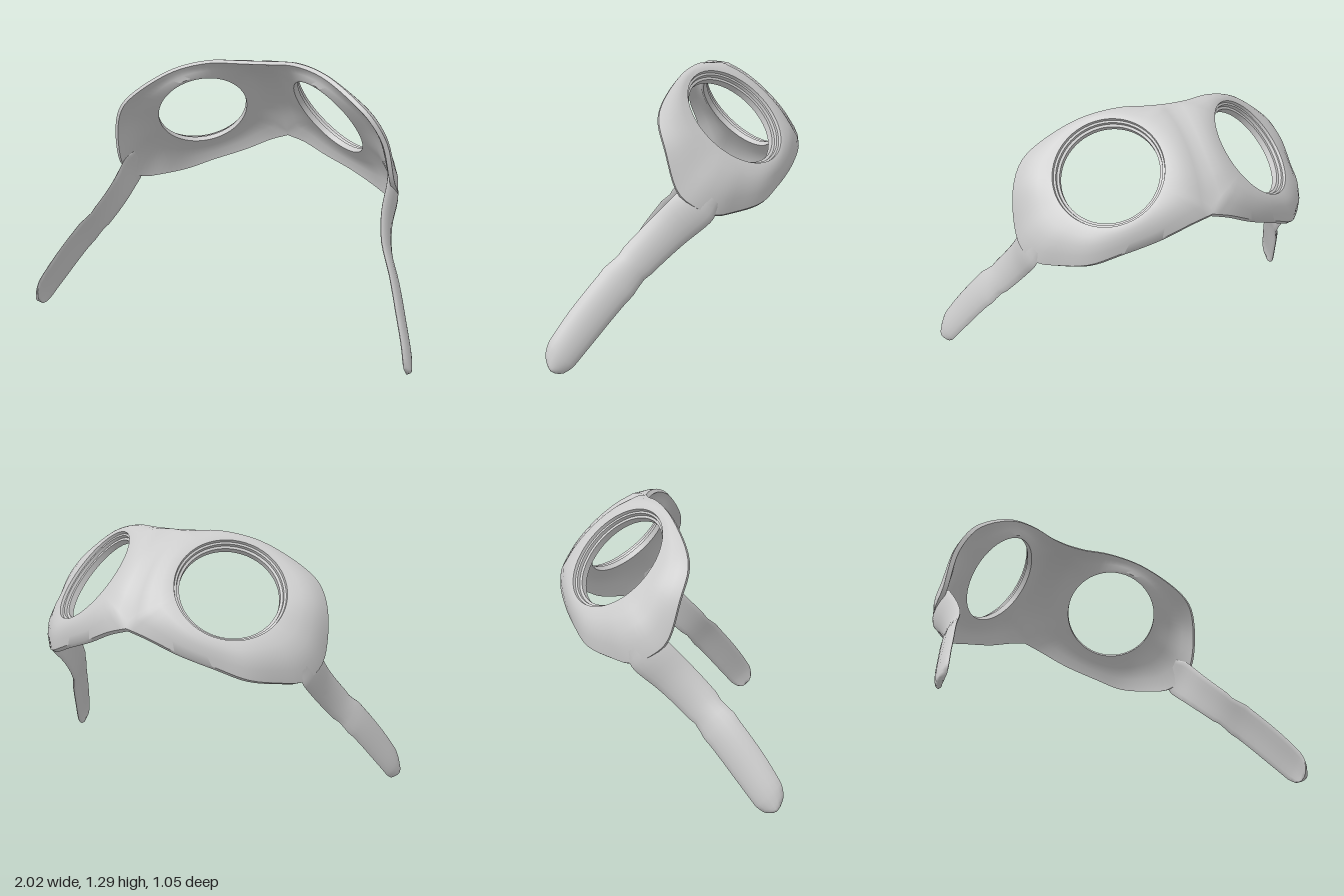
import * as THREE from 'three';
import { toCreasedNormals, mergeGeometries } from 'three/addons/utils/BufferGeometryUtils.js';

const V = (x, u, f) => new THREE.Vector3(x, u, f);
const MID = -0.022; // symmetry plane of the mask
const material = new THREE.MeshStandardMaterial({ color: 0xcccccc, side: THREE.DoubleSide });

// Mask space (x across, u up the face, f out of the face) to model space.
const place = (p, side) => V(side * p.x + MID, 0.69 * p.y + 0.72 * p.z, 0.72 * p.y - 0.69 * p.z);

// Joins closed cross-sections into a skin, facing outwards.
function loft(sections, closed, side) {
  const rows = sections.map((s) => s.map((p) => place(p, side)));
  const tris = [];
  let volume = 0;
  const add = (a, b, c) => {
    tris.push([a, b, c]);
    volume += a.dot(b.clone().cross(c));
  };
  const n = rows[0].length;
  for (let i = 0; i < rows.length - (closed ? 0 : 1); i++) {
    const r0 = rows[i], r1 = rows[(i + 1) % rows.length];
    for (let j = 0; j < n; j++) {
      const k = (j + 1) % n;
      const quad = [r0[j], r1[j], r1[k], r0[k]];
      // leave the two halves open where they meet
      if (quad.every((p) => Math.abs(p.x - MID) < 1e-4)) continue;
      add(quad[0], quad[1], quad[2]);
      add(quad[0], quad[2], quad[3]);
    }
  }
  const pos = [];
  for (const [a, b, c] of tris) {
    for (const p of volume > 0 ? [a, b, c] : [a, c, b]) pos.push(p.x, p.y, p.z);
  }
  const g = new THREE.BufferGeometry();
  g.setAttribute('position', new THREE.Float32BufferAttribute(pos, 3));
  return g;
}

// Outer edge of half the mask: nose, cheek, temple, brow, back to the nose.
function maskEdge() {
  const rim = new THREE.CatmullRomCurve3([
    V(0, 0.225, 1.01), V(0.1, 0.21, 0.985), V(0.24, 0.192, 0.92), V(0.42, 0.19, 0.833),
    V(0.55, 0.2, 0.752), V(0.66, 0.265, 0.655), V(0.725, 0.32, 0.595),
    V(0.762, 0.41, 0.565), V(0.765, 0.503, 0.56), V(0.745, 0.677, 0.655),
    V(0.69, 0.78, 0.712), V(0.62, 0.825, 0.765), V(0.42, 0.866, 0.9),
    V(0.24, 0.854, 0.977), V(0.1, 0.825, 1.005), V(0, 0.818, 1.01),
  ], false, 'centripetal');
  const nose = new THREE.CatmullRomCurve3([
    V(0, 0.818, 1.01), V(0, 0.7, 1.055), V(0, 0.56, 1.075), V(0, 0.38, 1.06), V(0, 0.225, 1.01),
  ]);
  return [...rim.getSpacedPoints(60).slice(0, -1), ...nose.getSpacedPoints(20).slice(0, -1)];
}

// Half mask: one closed cross-section per direction around the eye hole.
function halfMask(side) {
  const c = V(0.367, 0.556, 0.904);
  const out = V(0.49, 0, 0.872), across = V(0.872, 0, -0.49);
  const normalAt = (p) => V(Math.sin(p.x * 1.45), 0, Math.cos(p.x * 1.45));
  const sections = maskEdge().map((edge) => {
    const d = edge.clone().sub(c);
    const a = Math.atan2(d.y, d.dot(across));
    const ring = (r, h) => c.clone()
      .addScaledVector(across, r * Math.cos(a))
      .addScaledVector(out, h)
      .add(V(0, r * Math.sin(a), 0));
    const lip = ring(0.272, 0.034), back = ring(0.25, -0.03);
    const inner = edge.clone().addScaledVector(normalAt(edge), -0.022);
    const between = (p, q, t) => {
      const m = p.clone().lerp(q, t);
      return m.addScaledVector(normalAt(m), 0.5 * t * (1 - t) * p.distanceTo(q));
    };
    return [
      ring(0.235, -0.03), ring(0.235, 0.0), ring(0.247, 0.003), ring(0.249, 0.018),
      ring(0.259, 0.02), ring(0.262, 0.034), lip,
      between(lip, edge, 0.25), between(lip, edge, 0.5), between(lip, edge, 0.75), edge,
      inner, between(inner, back, 0.33), between(inner, back, 0.67), back,
    ];
  });
  return loft(sections, true, side);
}

// Strap stations: x, u, f and half width, from the temple to the tip.
const STATIONS = [
  [0.725, 0.41, 0.64, 0.075], [0.745, 0.41, 0.56, 0.098], [0.758, 0.42, 0.4, 0.09],
  [0.8, 0.425, 0.23, 0.085], [0.872, 0.42, 0.076, 0.085], [0.942, 0.405, -0.1, 0.083],
  [0.998, 0.385, -0.25, 0.075], [1.01, 0.376, -0.3, 0.055], [1.014, 0.37, -0.325, 0.025],
  [1.014, 0.37, -0.33, 0.001],
];

function strap(side) {
  // the right strap is slightly shorter
  const fx = side > 0 ? 1 : 0.88, ff = side > 0 ? 1 : 0.925;
  const path = new THREE.CatmullRomCurve3(STATIONS.map(([x, u, f]) =>
    V(0.725 + (x - 0.725) * fx, u, 0.6 + (f - 0.6) * ff)));
  const widths = new THREE.CatmullRomCurve3(STATIONS.map((s) => V(s[3], 0, 0)));
  const sections = [];
  for (let i = 0; i <= 36; i++) {
    const t = i / 36, p = path.getPoint(t), tan = path.getTangent(t);
    const w = Math.max(widths.getPoint(t).x, 0.001);
    const n = V(-tan.z, 0, tan.x).normalize();
    const thick = Math.min(0.014, w * 0.4);
    const section = [];
    for (let k = 0; k < 16; k++) {
      const a = (k / 16) * Math.PI * 2;
      const bow = -0.014 * Math.sin(a) ** 2; // edges curl inwards
      section.push(p.clone().add(V(0, w * Math.sin(a), 0))
        .addScaledVector(n, thick * Math.cos(a) + bow));
    }
    sections.push(section);
  }
  return loft(sections, false, side);
}

export function createModel() {
  const group = new THREE.Group();
  group.name = 'goggleFrame';
  const add = (name, geometry) => {
    const mesh = new THREE.Mesh(toCreasedNormals(geometry, 0.7), material);
    mesh.name = name;
    group.add(mesh);
  };
  add('mask', mergeGeometries([halfMask(1), halfMask(-1)]));
  add('leftStrap', strap(1));
  add('rightStrap', strap(-1));
  return group;
}
